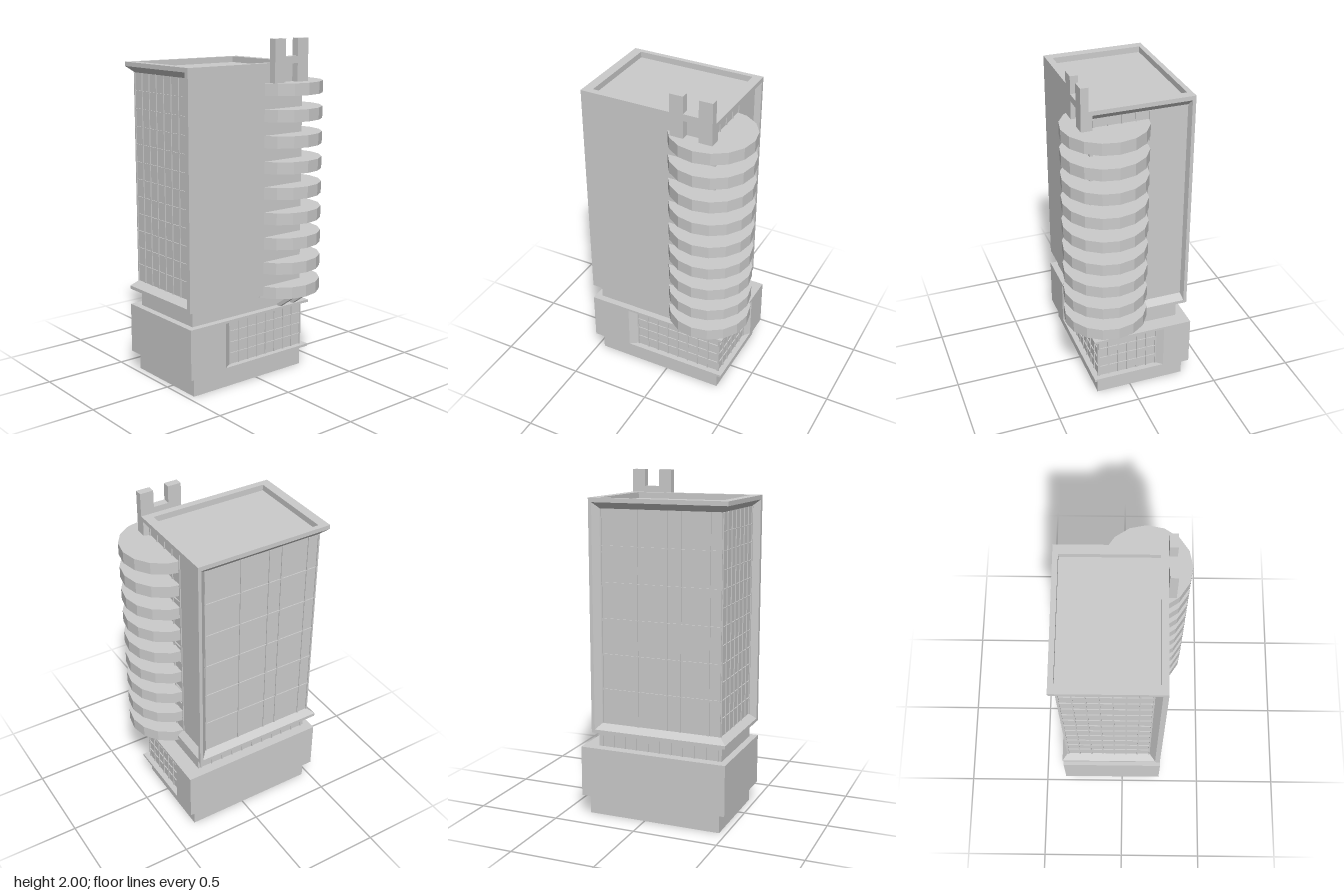
import * as THREE from 'three';

const mat = new THREE.MeshStandardMaterial({ color: 0xcccccc, flatShading: true, side: THREE.DoubleSide });

function add(parent, name, geometry) {
  const mesh = new THREE.Mesh(geometry, mat);
  mesh.name = name;
  parent.add(mesh);
  return mesh;
}

// Box given by its two extreme corners
function box(parent, name, [x0, y0, z0], [x1, y1, z1]) {
  const mesh = add(parent, name, new THREE.BoxGeometry(x1 - x0, y1 - y0, z1 - z0));
  mesh.position.set((x0 + x1) / 2, (y0 + y1) / 2, (z0 + z1) / 2);
  return mesh;
}

// Walls through a stack of rings [y, [[x, z], ...]]
function loft(parent, name, rings) {
  const pos = [];
  for (let r = 0; r < rings.length - 1; r++) {
    const [ya, a] = rings[r], [yb, b] = rings[r + 1];
    a.forEach((p, i) => {
      const j = (i + 1) % a.length;
      const A = [p[0], ya, p[1]], B = [a[j][0], ya, a[j][1]];
      const C = [b[j][0], yb, b[j][1]], D = [b[i][0], yb, b[i][1]];
      pos.push(...A, ...B, ...C, ...A, ...C, ...D);
    });
  }
  const g = new THREE.BufferGeometry();
  g.setAttribute('position', new THREE.Float32BufferAttribute(pos, 3));
  g.computeVertexNormals();
  return add(parent, name, g);
}

const rect = (x0, x1, z0, z1) => [[x0, z1], [x1, z1], [x1, z0], [x0, z0]];

// Window bars on a wall: axis is the direction the wall runs, at is its plane
function bars(parent, name, axis, at, [u0, u1], [y0, y1], columns, rows) {
  const group = new THREE.Group();
  group.name = name;
  const w = 0.004, d = 0.006;
  const bar = (label, ua, ub, ya, yb) => axis === 'x'
    ? box(group, label, [ua, ya, at - d], [ub, yb, at + d])
    : box(group, label, [at - d, ya, ua], [at + d, yb, ub]);
  columns.forEach(u => bar('mullion', u - w, u + w, y0, y1));
  for (let i = 1; i < rows; i++) {
    const y = y0 + (y1 - y0) * i / rows;
    bar('transom', u0, u1, y - w / 2, y + w / 2);
  }
  parent.add(group);
}

const spaced = (a, b, n) => Array.from({ length: n + 1 }, (_, i) => a + (b - a) * i / n);

export function createModel() {
  const model = new THREE.Group();
  model.name = 'towerBuilding';

  // Plinth, open underneath
  loft(model, 'plinth', [[0, rect(-0.46, 0.35, -0.34, 0.21)], [0.115, rect(-0.46, 0.35, -0.34, 0.21)]]);

  // Podium: ledge with an opening, walls set back around the front right corner, and lid
  const ledge = new THREE.Shape(rect(-0.5, 0.39, -0.37, 0.24).map(([x, z]) => new THREE.Vector2(x, -z)));
  ledge.holes.push(new THREE.Path(rect(-0.46, 0.35, -0.34, 0.205).map(([x, z]) => new THREE.Vector2(x, -z))));
  const ledgeGeo = new THREE.ExtrudeGeometry(ledge, { depth: 0.015, bevelEnabled: false });
  add(model, 'podiumLedge', ledgeGeo.rotateX(-Math.PI / 2).translate(0, 0.115, 0));
  const podium = [[-0.5, 0.24], [-0.25, 0.24], [-0.2, 0.205], [0.355, 0.205],
    [0.355, -0.16], [0.39, -0.2], [0.39, -0.37], [-0.5, -0.37]];
  loft(model, 'podiumWalls', [[0.13, podium], [0.4, podium]]);
  box(model, 'podiumLid', [-0.5, 0.4, -0.37], [0.39, 0.415, 0.24]);
  bars(model, 'podiumFrontWindows', 'x', 0.205, [-0.2, 0.355], [0.13, 0.4], spaced(-0.2, 0.353, 8), 4);
  bars(model, 'podiumRightWindows', 'z', 0.355, [-0.16, 0.205], [0.13, 0.4], spaced(-0.16, 0.203, 6), 4);

  // Neck between podium and tower
  box(model, 'neck', [-0.46, 0.415, -0.31], [0.3, 0.51, 0.2]);
  bars(model, 'neckWindows', 'x', -0.31, [-0.46, 0.3], [0.415, 0.51], spaced(-0.44, 0.28, 10), 1);

  // Tower: flush outline and outline with set-back glazing, point by point
  const flush = [[-0.5, 0.235], [0.32, 0.235], [0.32, 0.215], [0.32, 0.215], [0.32, -0.35], [0.32, -0.35],
    [0.32, -0.37], [0.3, -0.37], [0.3, -0.37], [-0.5, -0.37], [-0.5, 0.205], [-0.5, 0.205]];
  const setBack = [[-0.5, 0.235], [0.32, 0.235], [0.32, 0.215], [0.285, 0.205], [0.285, -0.34], [0.32, -0.35],
    [0.32, -0.37], [0.3, -0.37], [0.265, -0.335], [-0.46, -0.335], [-0.46, 0.17], [-0.5, 0.205]];
  const clamp = THREE.MathUtils.clamp;
  const parapet = flush.map(([x, z]) => [clamp(x, -0.445, 0.265), clamp(z, -0.34, 0.195)]);
  // Clamping needs every point on the inner edge, so interior points are pushed out by the outline itself
  box(model, 'towerFloorSlab', [-0.5, 0.51, -0.37], [0.32, 0.53, 0.235]);
  loft(model, 'towerBody', [[0.53, flush], [0.565, setBack], [1.805, setBack], [1.84, flush],
    [1.865, flush], [1.865, parapet], [1.83, parapet]]);
  box(model, 'roofDeck', [-0.445, 1.822, -0.34], [0.265, 1.83, 0.195]);

  // Tower windows
  const span = [0.565, 1.805];
  bars(model, 'backWindows', 'x', -0.335, [-0.46, 0.265], span, [-0.455, -0.39, -0.22, -0.14, 0.04, 0.26], 6);
  bars(model, 'leftWindows', 'z', -0.46, [-0.335, 0.17], span, spaced(-0.33, 0.165, 7), 12);
  bars(model, 'rightWindows', 'z', 0.285, [-0.12, 0.205], span, spaced(-0.12, 0.2, 4), 12);

  // Stack of round balconies wrapped around the corner
  for (let i = 0; i < 9; i++) {
    const disc = add(model, 'balcony', new THREE.CylinderGeometry(0.245, 0.245, 0.07, 16));
    disc.position.set(0.25, 0.53 + i * 0.1487, 0.125);
  }

  // Slanted struts carrying the lowest balcony
  const strut = (from, to) => {
    const a = new THREE.Vector3(...from), b = new THREE.Vector3(...to);
    const mesh = add(model, 'balconyStrut', new THREE.BoxGeometry(0.022, 0.022, a.distanceTo(b)));
    mesh.position.copy(a).add(b).multiplyScalar(0.5);
    mesh.lookAt(b);
  };
  for (const x of [0.18, 0.28]) strut([x, 0.415, 0.21], [x, 0.5, 0.33]);
  for (const z of [0.03, 0.125]) strut([0.35, 0.415, z], [0.46, 0.5, z]);

  // Roof pylons joined by a crossbar, standing on the top balcony
  for (const x of [0.07, 0.24]) box(model, 'roofPylon', [x, 1.75, 0.235], [x + 0.08, 2, 0.28]);
  box(model, 'pylonCrossbar', [0.15, 1.86, 0.235], [0.24, 1.9, 0.28]);

  return model;
}
